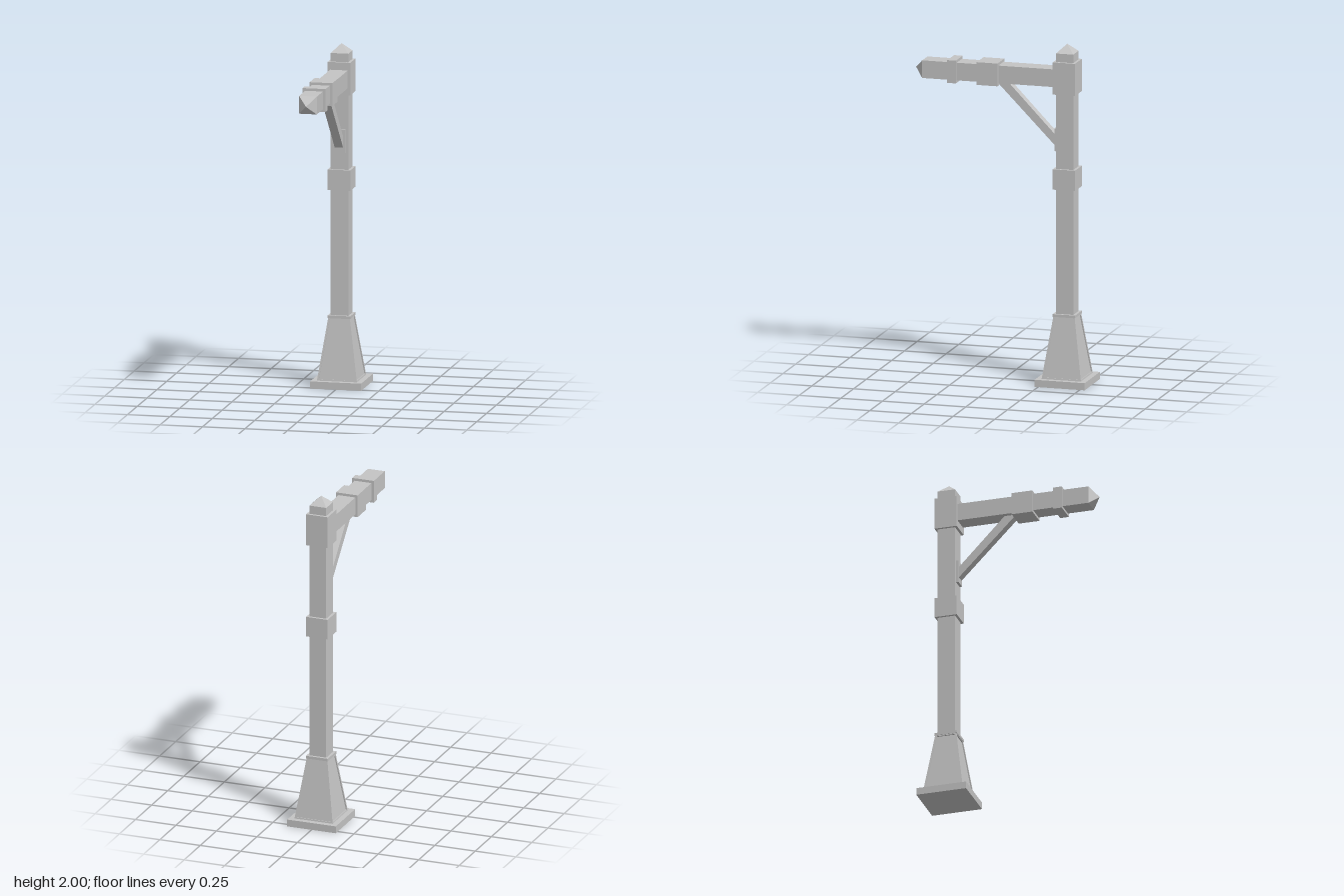
import * as THREE from 'three';

const grey = new THREE.MeshStandardMaterial({ color: 0xc4c4c4 });
grey.name = 'stone grey';

const POST_Z = -0.38, ARM_Y = 1.803, HALF = 0.052, COLLAR = 0.067;

export function createModel() {
  const model = new THREE.Group();
  model.name = 'bracketPost';

  const add = (name, geometry, parent = model) => {
    const mesh = new THREE.Mesh(geometry, grey);
    mesh.name = name;
    parent.add(mesh);
    return mesh;
  };

  // square block on the post, given its half width and height range
  const postBlock = (name, half, y0, y1) =>
    add(name, new THREE.BoxGeometry(half * 2, y1 - y0, half * 2)).position.set(0, (y0 + y1) / 2, POST_Z);

  // square block along the arm, given its half width and z range
  const armBlock = (name, half, z0, z1) =>
    add(name, new THREE.BoxGeometry(half * 2, half * 2, z1 - z0)).position.set(0, ARM_Y, (z0 + z1) / 2);

  // flat-sided square frustum or pyramid
  const frustum = (top, bottom, height) => {
    const g = new THREE.CylinderGeometry(top * Math.SQRT2, bottom * Math.SQRT2, height, 4)
      .rotateY(Math.PI / 4).toNonIndexed();
    g.computeVertexNormals();
    return g;
  };

  // post with plinth, collars and pointed top
  postBlock('plinth', 0.15, 0, 0.042);
  postBlock('post', HALF, 0.04, 1.95);
  postBlock('plinthCap', COLLAR, 0.4, 0.416);
  postBlock('middleCollar', COLLAR, 1.15, 1.27);
  postBlock('headCollar', COLLAR, 1.71, 1.9);
  add('postPoint', frustum(0, HALF, 0.05)).position.set(0, 1.975, POST_Z);

  // tapered skirt: recessed core inside four raised frames
  const bottom = 0.118, top = 0.064, y0 = 0.042, y1 = 0.402, recess = 0.007;
  const skirt = new THREE.Group();
  skirt.name = 'skirt';
  skirt.position.set(0, 0, POST_Z);
  model.add(skirt);
  add('skirtPanels', frustum(top - recess, bottom - recess, y1 - y0), skirt).position.y = (y0 + y1) / 2;

  const slant = Math.hypot(y1 - y0, bottom - top);
  const tilt = Math.atan2(bottom - top, y1 - y0);
  const trapezoid = (wBottom, wTop, low, high) => [
    [-wBottom, low], [wBottom, low], [wTop, high], [-wTop, high],
  ].map(([x, y]) => new THREE.Vector2(x, y));
  const frame = new THREE.Shape(trapezoid(bottom, top, 0, slant));
  frame.holes.push(new THREE.Path(trapezoid(bottom - 0.011, top - 0.009, 0.009, slant - 0.008).reverse()));
  const frameGeometry = new THREE.ExtrudeGeometry(frame, { depth: recess + 0.002, bevelEnabled: false })
    .translate(0, 0, -recess - 0.002).rotateX(-tilt).translate(0, y0, bottom);
  for (let i = 0; i < 4; i++) add('skirtFrame', frameGeometry, skirt).rotation.y = i * Math.PI / 2;

  // arm with two collars and pointed end
  armBlock('arm', HALF, POST_Z, 0.475);
  armBlock('armWideCollar', COLLAR, 0.018, 0.143);
  armBlock('armNarrowCollar', COLLAR, 0.268, 0.32);
  add('armPoint', frustum(0, HALF, 0.052).rotateX(Math.PI / 2)).position.set(0, ARM_Y, 0.501);

  // diagonal brace and its mounting plate
  const braceShape = new THREE.Shape([
    [0.023, 1.742], [0.023, 1.757], [-0.033, 1.757], [-0.325, 1.455], [-0.325, 1.39],
  ].map(([z, y]) => new THREE.Vector2(z, y)));
  add('brace', new THREE.ExtrudeGeometry(braceShape, { depth: 0.05, bevelEnabled: false })
    .translate(0, 0, -0.025).rotateY(-Math.PI / 2));
  add('bracePlate', new THREE.BoxGeometry(0.07, 0.135, 0.03)).position.set(0, 1.437, -0.328);

  return model;
}
